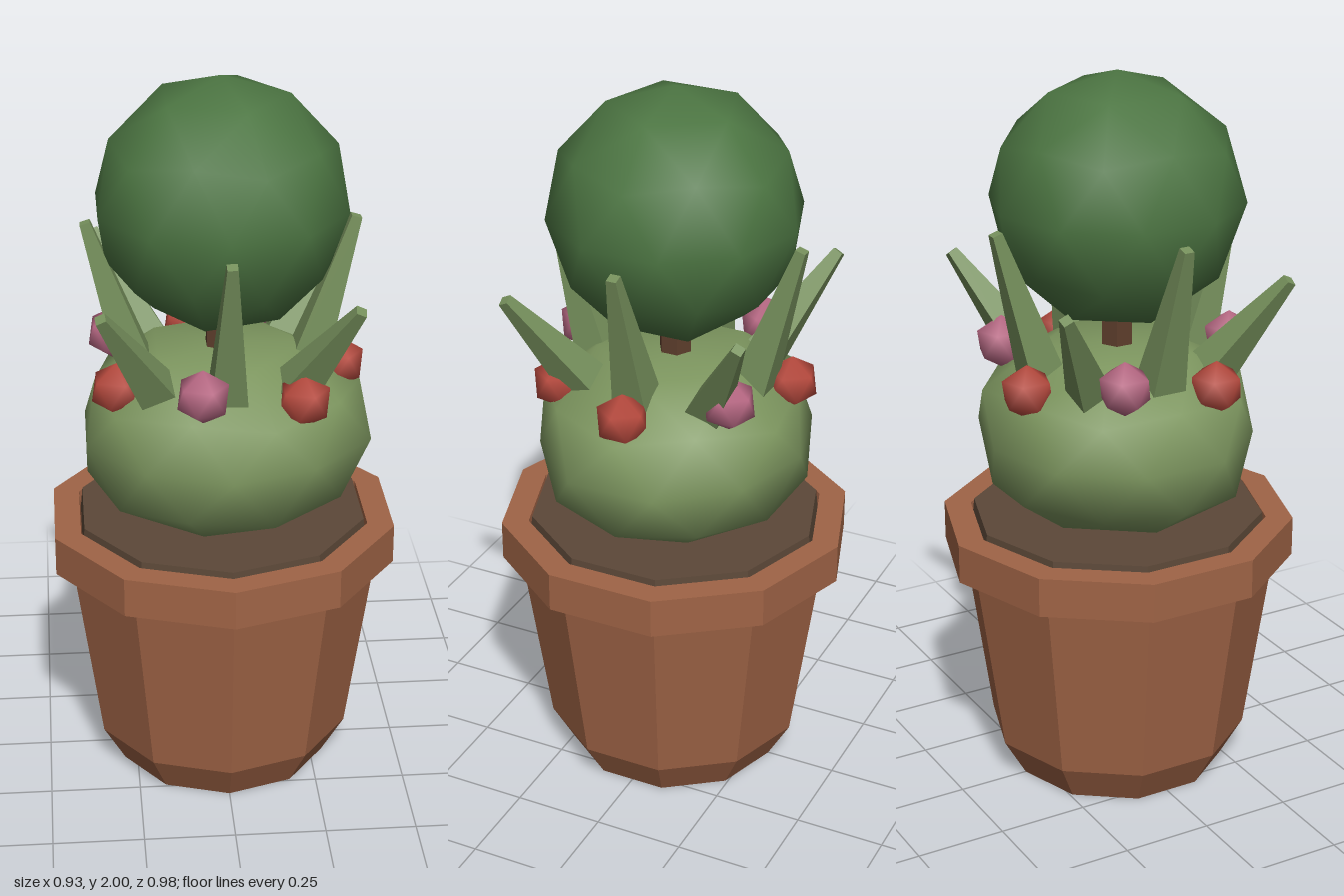
import * as THREE from 'three';
import { mergeVertices } from 'three/addons/utils/BufferGeometryUtils.js';

const paint = (name, color) => Object.assign(new THREE.MeshStandardMaterial({ color }), { name });

// Faceted copy of a geometry
function faceted(geometry) {
  const g = geometry.toNonIndexed();
  g.computeVertexNormals();
  return g;
}

// Icosphere with its poles on y, smooth-shaded, each unit vertex moved by a rule
function icosphere(detail, move) {
  let g = new THREE.IcosahedronGeometry(1, detail);
  g.rotateZ(-Math.atan(2 / (1 + Math.sqrt(5))));
  g.deleteAttribute('normal');
  g.deleteAttribute('uv');
  g = mergeVertices(g, 1e-3);
  const p = g.attributes.position;
  const v = new THREE.Vector3();
  for (let i = 0; i < p.count; i++) {
    v.fromBufferAttribute(p, i);
    move(v);
    p.setXYZ(i, v.x, v.y, v.z);
  }
  g.computeVertexNormals();
  return g;
}

export function createModel() {
  const group = new THREE.Group();
  group.name = 'pottedTopiary';
  const terracotta = paint('terracotta', 0xa06446);
  const soilBrown = paint('soil brown', 0x5c4838);
  const barkBrown = paint('bark brown', 0x5e3e2c);
  const darkGreen = paint('dark green', 0x4c7542);
  const paleGreen = paint('pale green', 0x7d965f);
  const leafGreen = paint('leaf green', 0x76905c);
  const red = paint('red', 0xb84a3e);
  const pink = paint('pink', 0xbb6a86);

  const add = (name, geometry, material, x = 0, y = 0, z = 0) => {
    const mesh = new THREE.Mesh(geometry, material);
    mesh.name = name;
    mesh.position.set(x, y, z);
    group.add(mesh);
    return mesh;
  };

  // Ten-sided pot with a foot bevel and a thick rim
  const profile = [[0, 0], [0.3, 0], [0.363, 0.11], [0.44, 0.645], [0.49, 0.645],
    [0.49, 0.755], [0.415, 0.755], [0.41, 0.7]].map(([r, y]) => new THREE.Vector2(r, y));
  add('pot', faceted(new THREE.LatheGeometry(profile, 10)), terracotta);
  add('soil', faceted(new THREE.CylinderGeometry(0.405, 0.412, 0.07, 10)), soilBrown, 0, 0.733, 0);

  // Lumpy lower bush, flattened at top and bottom
  add('bush', icosphere(1, (v) => {
    const waist = Math.abs(v.y) < 0.1 && v.x < 0.8 ? 0.93 : 1.0;
    const lump = 1 + 0.025 * Math.sin(5 * v.x + 3 * v.z + 4 * v.y);
    v.set(v.x * 0.42 * waist * lump + 0.005, THREE.MathUtils.clamp(v.y * 0.285, -0.24, 0.245),
      v.z * 0.405 * waist * lump);
  }), paleGreen, 0, 1.01, 0);

  // Trunk and round crown
  add('trunk', faceted(new THREE.CylinderGeometry(0.045, 0.05, 0.7, 6)), barkBrown, 0, 1.1, 0);
  add('crown', icosphere(1, (v) => v.multiplyScalar(0.345)), darkGreen, 0, 1.655, 0);

  // Eight square, tapering leaves leaning outward; the diagonal ones are lower
  const up = new THREE.Vector3(0, 1, 0);
  for (let i = 0; i < 8; i++) {
    const diagonal = i % 2 === 1;
    const a = i * Math.PI / 4;
    const at = (r, y) => new THREE.Vector3(r * Math.cos(a), y, r * Math.sin(a));
    const base = diagonal ? at(0.23, 1.16) : at(0.22, 1.16);
    const tip = diagonal ? at(0.47, 1.47) : at(0.36, 1.61);
    const axis = tip.clone().sub(base);
    const blade = new THREE.CylinderGeometry(0.02, 0.075, axis.length(), 4);
    blade.rotateY(Math.PI / 4);
    const mid = base.add(tip).multiplyScalar(0.5);
    add('leaf', faceted(blade), leafGreen, mid.x, mid.y, mid.z)
      .quaternion.setFromUnitVectors(up, axis.normalize());
  }

  // Ring of seven flower buds
  const bud = icosphere(0, (v) => v.multiplyScalar(0.075));
  [red, red, pink, red, pink, red, pink].forEach((material, i) => {
    const a = i * Math.PI * 2 / 7;
    add('bud', bud, material, 0.32 * Math.cos(a), material === red ? 1.19 : 1.237, 0.32 * Math.sin(a));
  });

  return group;
}
